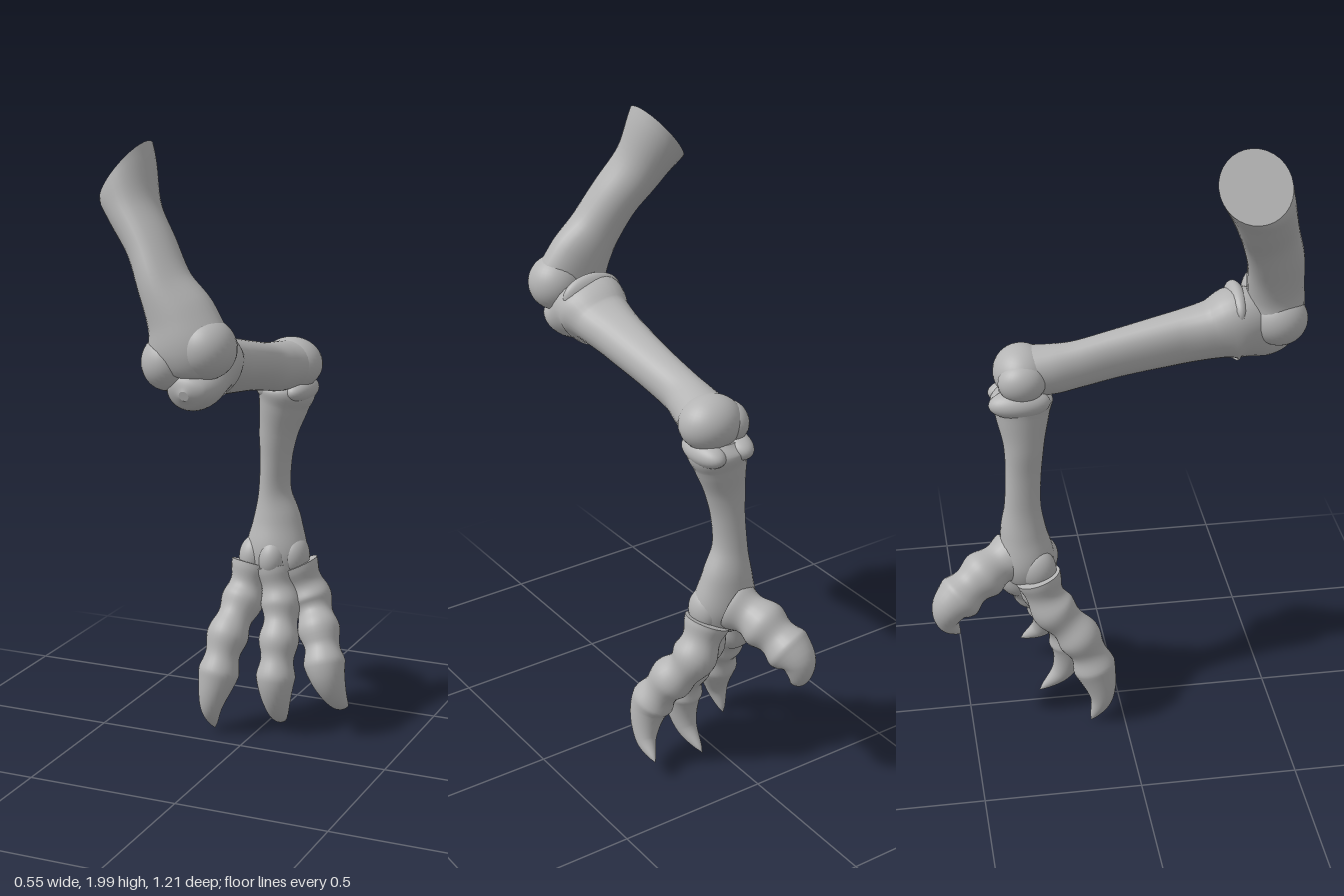
import * as THREE from 'three';

const bone = new THREE.MeshStandardMaterial({ color: 0xb4b4b4 });
bone.name = 'bone grey';

const V = (x, y, z) => new THREE.Vector3(x, y, z);

// Smooth loft through stations [x, y, z, halfWidth, halfDepth]; ridge adds three soft lobes,
// startNormal tilts the first section so the end reads as an oblique cut.
function loft(name, stations, { ridge = 0, startNormal = null, steps = 6, sides = 32 } = {}) {
  const path = new THREE.CatmullRomCurve3(stations.map(s => V(s[0], s[1], s[2])));
  const size = new THREE.CatmullRomCurve3(stations.map(s => V(s[3], s[4], 0)), false, 'catmullrom', 0.4);
  const rings = (stations.length - 1) * steps;
  const pos = [], idx = [];
  for (let i = 0; i <= rings; i++) {
    const t = i / rings;
    const p = path.getPoint(t), r = size.getPoint(t), T = path.getTangent(t);
    if (startNormal) T.lerp(startNormal, Math.max(0, 1 - t * 5)).normalize();
    const S = V(1, 0, 0).addScaledVector(T, -T.x).normalize();
    const N = T.clone().cross(S);
    const fade = ridge * Math.sin(Math.PI * t);
    for (let j = 0; j < sides; j++) {
      const a = j / sides * Math.PI * 2, k = 1 + fade * Math.cos(3 * a + 0.6);
      const q = p.clone()
        .addScaledVector(S, Math.max(r.x, 0.001) * k * Math.cos(a))
        .addScaledVector(N, Math.max(r.y, 0.001) * k * Math.sin(a));
      pos.push(q.x, q.y, q.z);
    }
  }
  for (let i = 0; i < rings; i++) for (let j = 0; j < sides; j++) {
    const a = i * sides + j, b = i * sides + (j + 1) % sides;
    idx.push(a, b, a + sides, b, b + sides, a + sides);
  }
  // flat caps with their own corners, so the rim stays sharp
  for (const end of [0, rings]) {
    const base = pos.length / 3, from = end * sides * 3;
    pos.push(...pos.slice(from, from + sides * 3));
    const c = path.getPoint(end / rings);
    pos.push(c.x, c.y, c.z);
    for (let j = 0; j < sides; j++) {
      const a = base + j, b = base + (j + 1) % sides;
      idx.push(base + sides, ...(end ? [a, b] : [b, a]));
    }
  }
  const g = new THREE.BufferGeometry();
  g.setAttribute('position', new THREE.Float32BufferAttribute(pos, 3));
  g.setIndex(idx);
  g.computeVertexNormals();
  const m = new THREE.Mesh(g, bone);
  m.name = name;
  return m;
}

function knob(name, [x, y, z], [rx, ry, rz]) {
  const m = new THREE.Mesh(new THREE.SphereGeometry(1, 32, 24), bone);
  m.position.set(x, y, z);
  m.scale.set(rx, ry, rz);
  m.name = name;
  return m;
}

// Toe with swollen joints that runs out into a curved claw
function toe(name, points, radius, joints, clawStart) {
  const curve = new THREE.CatmullRomCurve3(points.map(p => V(...p)));
  const stations = [];
  const n = 36;
  for (let i = 0; i <= n; i++) {
    const t = i / n, p = curve.getPointAt(t);
    let r = radius;
    if (t < clawStart) r *= 1 + 0.09 * Math.cos(t / clawStart * joints * Math.PI * 2) - 0.08 * t;
    else r *= 1.03 * Math.pow(Math.max(0, (1 - t) / (1 - clawStart)), 0.75);
    stations.push([p.x, p.y, p.z, r, r * 1.03]);
  }
  return loft(name, stations, { steps: 2, sides: 28 });
}

export function createModel() {
  const leg = new THREE.Group();
  leg.name = 'clawedLeg';

  // Upper bone, cut off obliquely at the top
  const thigh = new THREE.Group();
  thigh.name = 'upperBone';
  thigh.add(
    loft('upperShaft', [
      [-0.2, 1.91, 0.37, 0.115, 0.11],
      [-0.155, 1.8, 0.41, 0.08, 0.094],
      [-0.085, 1.7, 0.445, 0.073, 0.088],
      [-0.03, 1.6, 0.475, 0.08, 0.088],
      [0.03, 1.5, 0.49, 0.108, 0.088],
      [0.055, 1.42, 0.5, 0.125, 0.088],
      [0.06, 1.36, 0.5, 0.09, 0.07],
      [0.06, 1.335, 0.5, 0.02, 0.02],
    ], { ridge: 0.05, startNormal: V(0.79, -0.61, 0) }),
    knob('outerKneeKnob', [0.11, 1.43, 0.495], [0.09, 0.09, 0.09]),
    knob('innerKneeKnob', [-0.005, 1.385, 0.505], [0.078, 0.085, 0.088]),
  );
  leg.add(thigh);

  // Middle bone, nearly level
  const shin = new THREE.Group();
  shin.name = 'middleBone';
  shin.add(
    loft('middleShaft', [
      [0.07, 1.3, 0.565, 0.015, 0.015],
      [0.07, 1.305, 0.545, 0.06, 0.047],
      [0.065, 1.315, 0.48, 0.09, 0.078],
      [0.05, 1.36, 0.385, 0.115, 0.118],
      [0.05, 1.342, 0.3, 0.094, 0.092],
      [0.05, 1.322, 0.2, 0.077, 0.085],
      [0.045, 1.283, 0, 0.064, 0.077],
      [0.04, 1.257, -0.12, 0.063, 0.076],
      [0.045, 1.242, -0.2, 0.075, 0.08],
      [0.055, 1.235, -0.28, 0.09, 0.078],
    ], { ridge: 0.07 }),
    knob('middleBoneRim', [0.05, 1.42, 0.375], [0.105, 0.065, 0.035]),
    knob('ankleBall', [0.055, 1.235, -0.295], [0.102, 0.086, 0.09]),
    knob('ankleInnerKnob', [-0.005, 1.225, -0.3], [0.06, 0.065, 0.075]),
  );
  leg.add(shin);

  // Lower upright bone
  const lower = new THREE.Group();
  lower.name = 'lowerBone';
  lower.add(
    loft('lowerShaft', [
      [0.035, 1.185, -0.3, 0.07, 0.07],
      [0.035, 1.15, -0.3, 0.095, 0.098],
      [0.025, 1.1, -0.3, 0.083, 0.085],
      [0.005, 1.0, -0.3, 0.064, 0.064],
      [-0.005, 0.9, -0.305, 0.052, 0.057],
      [-0.01, 0.8, -0.31, 0.054, 0.058],
      [-0.002, 0.7, -0.31, 0.082, 0.073],
      [0.0, 0.6, -0.3, 0.105, 0.088],
      [0.0, 0.53, -0.29, 0.09, 0.075],
      [0.0, 0.5, -0.285, 0.03, 0.03],
    ], { ridge: 0.04 }),
    knob('socketLeft', [0.085, 1.15, -0.305], [0.05, 0.042, 0.095]),
    knob('socketRight', [-0.01, 1.155, -0.31], [0.053, 0.045, 0.097]),
  );
  const knuckles = [[-0.065, 0.575, -0.27], [0.01, 0.58, -0.255], [0.068, 0.585, -0.295]];
  knuckles.forEach((k, i) => lower.add(knob('knuckle' + (i + 1), k, [0.05, 0.07, 0.06])));
  leg.add(lower);

  // Three front toes and one hind toe
  const foot = new THREE.Group();
  foot.name = 'foot';
  foot.add(
    toe('rightToe', [[-0.07, 0.55, -0.27], [-0.085, 0.45, -0.235], [-0.108, 0.33, -0.145],
      [-0.12, 0.21, -0.095], [-0.137, 0.1, -0.075], [-0.14, 0.01, -0.11]], 0.066, 3, 0.65),
    toe('middleToe', [[0.01, 0.55, -0.27], [0.04, 0.43, -0.25], [0.055, 0.3, -0.19],
      [0.06, 0.18, -0.155], [0.06, 0.08, -0.18], [0.05, 0.01, -0.26]], 0.063, 3, 0.62),
    toe('leftToe', [[0.07, 0.55, -0.31], [0.125, 0.43, -0.31], [0.185, 0.32, -0.245],
      [0.222, 0.22, -0.205], [0.25, 0.13, -0.23], [0.262, 0.08, -0.3]], 0.067, 3, 0.62),
    toe('hindToe', [[-0.01, 0.6, -0.35], [-0.045, 0.57, -0.43], [-0.08, 0.515, -0.515],
      [-0.098, 0.475, -0.56], [-0.1, 0.425, -0.565], [-0.1, 0.375, -0.53]], 0.073, 2, 0.58),
  );
  leg.add(foot);
  return leg;
}
